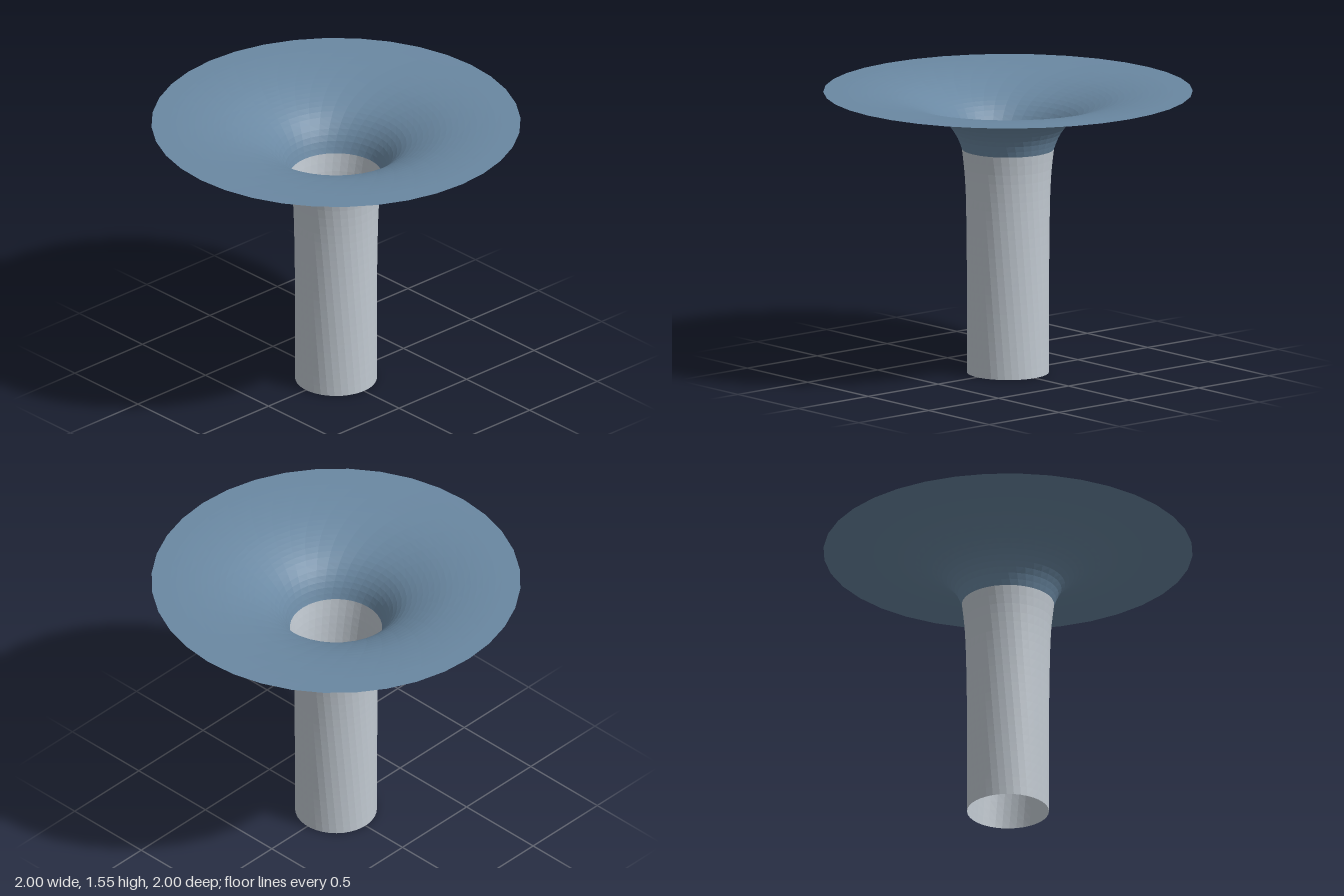
import * as THREE from 'three';

const SIDES = 36;

// Twisted surface of revolution: rings follow the profile and turn steadily between two angles
function twistedShell(profile, rows, startDeg, endDeg) {
  const curve = new THREE.CatmullRomCurve3(profile.map(([r, y]) => new THREE.Vector3(r, y, 0)), false, 'centripetal');
  const rings = curve.getSpacedPoints(rows);
  const positions = [];
  const index = [];
  rings.forEach((p, i) => {
    const turn = THREE.MathUtils.degToRad(THREE.MathUtils.lerp(startDeg, endDeg, i / rows));
    for (let j = 0; j < SIDES; j++) {
      const a = (j / SIDES) * Math.PI * 2 + turn;
      positions.push(p.x * Math.sin(a), p.y, p.x * Math.cos(a));
    }
  });
  for (let i = 0; i < rows; i++) {
    for (let j = 0; j < SIDES; j++) {
      const k = (j + 1) % SIDES;
      const a = i * SIDES + j, b = i * SIDES + k;
      const c = a + SIDES, d = b + SIDES;
      index.push(a, b, d, a, d, c);
    }
  }
  const geometry = new THREE.BufferGeometry();
  geometry.setAttribute('position', new THREE.Float32BufferAttribute(positions, 3));
  geometry.setIndex(index);
  geometry.computeVertexNormals();
  return geometry;
}

function shellMaterial(name, color) {
  const material = new THREE.MeshStandardMaterial({ color, side: THREE.DoubleSide, flatShading: true });
  material.name = name;
  return material;
}

export function createModel() {
  const model = new THREE.Group();
  model.name = 'twistedFunnel';

  // Open pipe with a slow helical twist
  const stem = new THREE.Mesh(
    twistedShell([[0.222, 0], [0.223, 0.4], [0.225, 0.8], [0.23, 1.0], [0.238, 1.13], [0.25, 1.235]], 24, 65, 40),
    shellMaterial('pale grey', 0xc2cad2)
  );
  stem.name = 'stem';

  // Flared mouth opening out to a flat rim
  const flare = new THREE.Mesh(
    twistedShell([[0.25, 1.235], [0.275, 1.3], [0.31, 1.355], [0.365, 1.41], [0.44, 1.455], [0.57, 1.505],
      [0.7, 1.532], [0.85, 1.547], [1.0, 1.551]], 26, 40, 0),
    shellMaterial('slate blue', 0x6a88a2)
  );
  flare.name = 'flare';

  model.add(stem, flare);
  return model;
}
